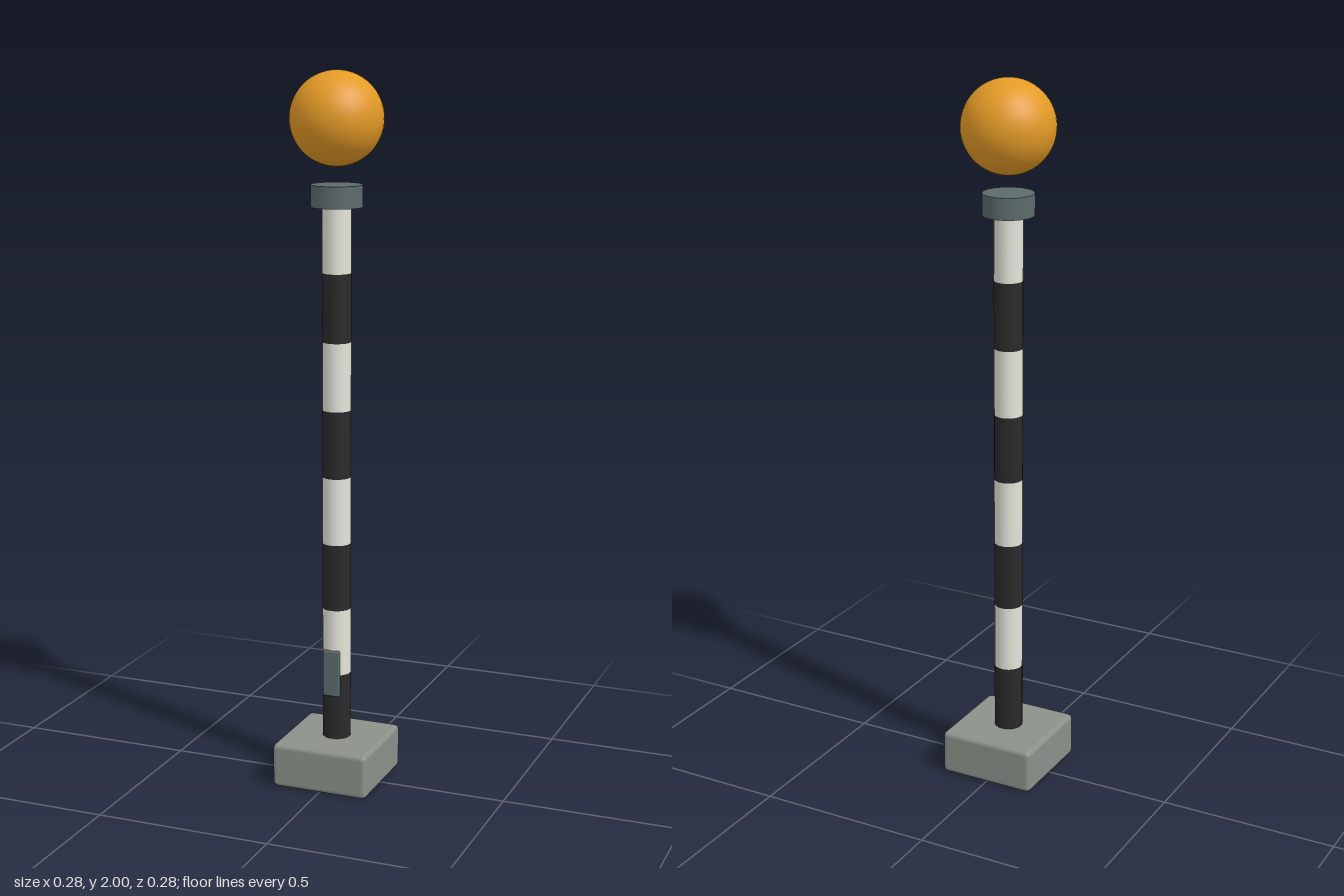
import * as THREE from 'three';
import { RoundedBoxGeometry } from 'three/addons/geometries/RoundedBoxGeometry.js';

const material = (name, color) => {
  const m = new THREE.MeshStandardMaterial({ color });
  m.name = name;
  return m;
};

export function createModel() {
  const concrete = material('concrete grey', 0x8c918a);
  const black = material('band black', 0x2a2a2a);
  const white = material('band white', 0xe4e4da);
  const steel = material('steel grey', 0x5c6b6b);
  const amber = material('globe amber', 0xe39a26);

  const model = new THREE.Group();
  model.name = 'crossingBeacon';
  const add = (name, geometry, mat, y, z = 0) => {
    const mesh = new THREE.Mesh(geometry, mat);
    mesh.name = name;
    mesh.position.set(0, y, z);
    model.add(mesh);
  };

  // Footing block with softened edges
  add('base', new RoundedBoxGeometry(0.282, 0.127, 0.282, 2, 0.014), concrete, 0.0635);

  // Pole of alternating black and white bands; only the end bands are capped
  const bands = 8, start = 0.127, step = 0.19;
  for (let i = 0; i < bands; i++) {
    const open = i > 0 && i < bands - 1;
    add(i % 2 ? 'whiteBand' : 'blackBand',
      new THREE.CylinderGeometry(0.04, 0.04, step, 24, 1, open),
      i % 2 ? white : black, start + (i + 0.5) * step);
  }

  // Access hatch on the front of the pole
  add('hatch', new RoundedBoxGeometry(0.049, 0.134, 0.014, 2, 0.004), steel, 0.323, 0.04);

  // Collar on top of the pole, with the globe above it
  add('collar', new THREE.CylinderGeometry(0.071, 0.071, 0.06, 24), steel, 1.666);
  add('globe', new THREE.SphereGeometry(0.128, 40, 28), amber, 1.872);

  return model;
}
